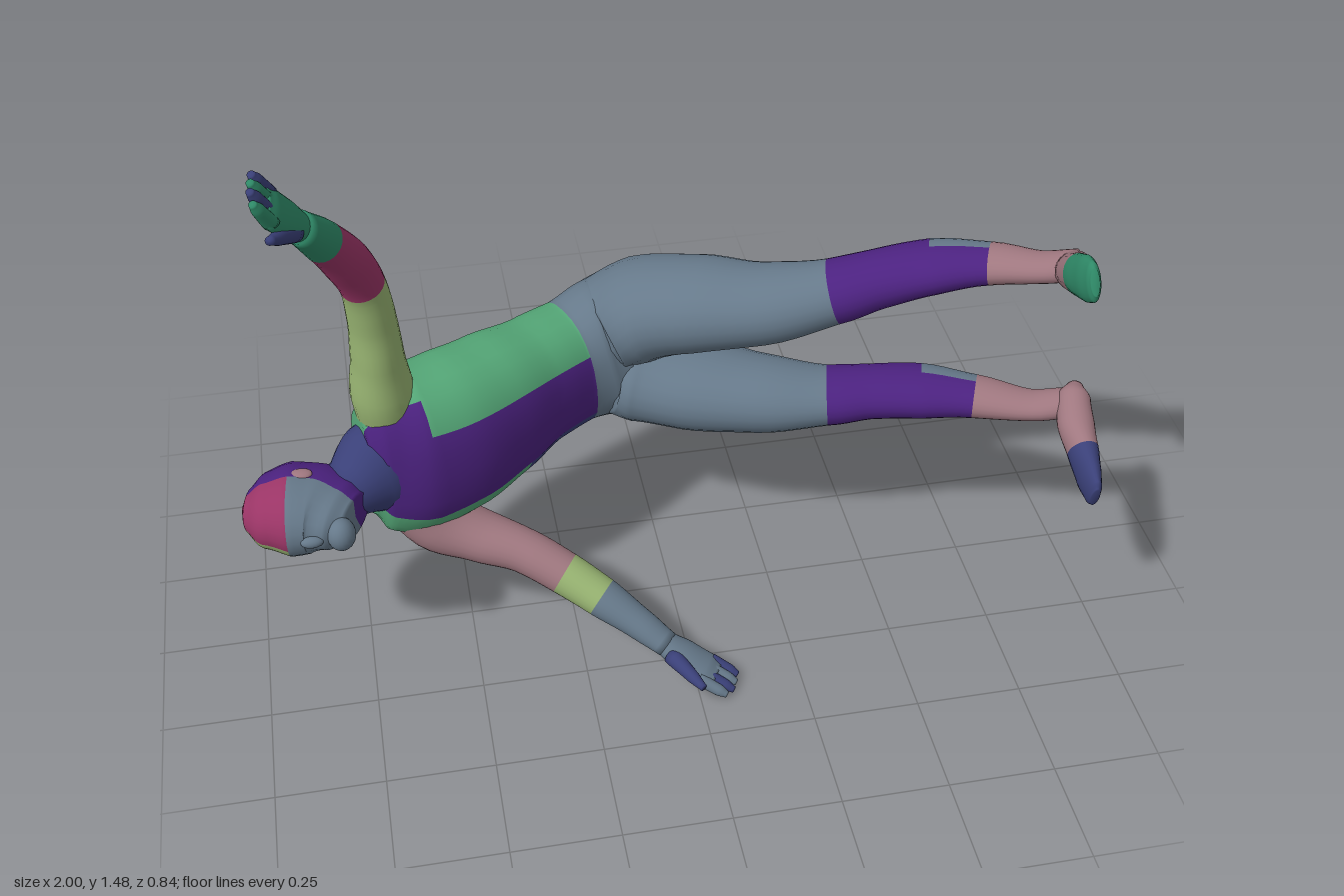
import * as THREE from 'three';

const V = (a) => new THREE.Vector3(...a);
const COLS = 24, STEPS = 5;
const SLATE = 0x66798a, GREEN = 0x55a878, PURPLE = 0x4c2280, MAROON = 0x9a3566, OLIVE = 0x98b472,
  PINK = 0xa07880, NAVY = 0x3a4078, TEAL = 0x2f8a68;

// Smooth body through stations [x, y, z, half width along side, half depth].
// bands: [name, colour, first station, last station, first column, last column]
// power below 1 makes the cross-section squarer than an ellipse.
function loft(group, stations, side, bands, power = 1) {
  const n = stations.length;
  const path = new THREE.CatmullRomCurve3(stations.map((s) => V(s)));
  const rings = (n - 1) * STEPS;
  const pos = [];
  const bulge = (v) => Math.sign(v) * Math.abs(v) ** power;
  for (let i = 0; i <= rings + 2; i++) {
    const ring = Math.min(Math.max(i - 1, 0), rings);
    const t = ring / rings, k = Math.min(Math.floor(ring / STEPS), n - 2);
    const f = ring / STEPS - k, e = f * f * (3 - 2 * f) * 0.5 + f * 0.5;
    const closed = i === 0 || i === rings + 2 ? 0 : 1;
    const r = [3, 4].map((q) => closed * THREE.MathUtils.lerp(stations[k][q], stations[k + 1][q], e));
    const c = path.getPoint(t), T = path.getTangent(t);
    const s = V(side).addScaledVector(T, -V(side).dot(T)).normalize();
    const b = new THREE.Vector3().crossVectors(T, s);
    for (let j = 0; j < COLS; j++) {
      const a = (j / COLS) * Math.PI * 2;
      pos.push(...c.clone().addScaledVector(s, r[0] * bulge(Math.cos(a)))
        .addScaledVector(b, r[1] * bulge(Math.sin(a))).toArray());
    }
  }
  const strip = (r0, r1, c0, c1) => {
    const index = [];
    for (let i = r0; i < r1; i++) for (let j = c0; j < c1; j++) {
      const a = i * COLS + (j % COLS), b = i * COLS + ((j + 1) % COLS);
      index.push(a, b, a + COLS, b, b + COLS, a + COLS);
    }
    return index;
  };
  // Normals come from the whole skin, so the colour bands join without a crease
  const whole = new THREE.BufferGeometry();
  whole.setAttribute('position', new THREE.Float32BufferAttribute(pos, 3));
  whole.setIndex(strip(0, rings + 2, 0, COLS));
  whole.computeVertexNormals();
  for (const [name, color, from, to, c0 = 0, c1 = COLS] of bands) {
    const g = new THREE.BufferGeometry();
    g.setAttribute('position', whole.attributes.position);
    g.setAttribute('normal', whole.attributes.normal);
    const r0 = from === 0 ? 0 : from * STEPS + 1, r1 = to === n - 1 ? rings + 2 : to * STEPS + 1;
    g.setIndex(strip(r0, r1, c0, c1));
    const mesh = new THREE.Mesh(g.toNonIndexed(), new THREE.MeshStandardMaterial({ color }));
    mesh.name = name;
    group.add(mesh);
  }
}

function ball(group, name, color, at, scale) {
  const mesh = new THREE.Mesh(new THREE.SphereGeometry(1, 20, 14), new THREE.MeshStandardMaterial({ color }));
  mesh.name = name;
  mesh.position.set(...at);
  mesh.scale.set(...scale);
  group.add(mesh);
}

// Palm, four fingers and a thumb; side points across the palm to the little finger
function hand(group, name, wrist, knuckle, tip, side, thumb, colors) {
  const w = V(wrist), k = V(knuckle), t = V(tip), s = V(side).normalize();
  const mid = w.clone().lerp(k, 0.5);
  loft(group, [[...w, 0.03, 0.028], [...mid, 0.044, 0.027], [...k, 0.05, 0.023],
    [...k.clone().lerp(t, 0.35), 0.042, 0.015]], side, [[name + 'Palm', colors[0], 0, 3]]);
  for (let i = 0; i < 4; i++) {
    const off = (i - 1.5) * 0.023, reach = 1 - Math.abs(i - 1.2) * 0.09;
    const a = k.clone().addScaledVector(s, off);
    const b = k.clone().lerp(t, reach).addScaledVector(s, off);
    loft(group, [[...a, 0.014, 0.018], [...a.clone().lerp(b, 0.7), 0.014, 0.014], [...b, 0.008, 0.008]],
      side, [[name + 'Finger', colors[i % 2], 0, 2]]);
  }
  const base = w.clone().lerp(mid, 0.6).addScaledVector(s, -0.02), end = V(thumb);
  loft(group, [[...base, 0.022, 0.022], [...base.clone().lerp(end, 0.6), 0.016, 0.016], [...end, 0.009, 0.009]],
    [1, 0.3, 0], [[name + 'Thumb', colors[1], 0, 2]]);
}

export function createModel() {
  const body = new THREE.Group();
  body.name = 'body';
  const Y = [0, 1, 0];

  // Head, running from crown to jaw, with face features
  loft(body, [[-0.998, 0.5, 0.085, 0.012, 0.012], [-0.985, 0.5, 0.088, 0.045, 0.054], [-0.95, 0.5, 0.094, 0.078, 0.095],
    [-0.89, 0.5, 0.1, 0.097, 0.12], [-0.83, 0.5, 0.11, 0.088, 0.118], [-0.78, 0.5, 0.137, 0.07, 0.1],
    [-0.75, 0.5, 0.155, 0.048, 0.066]], Y,
  [['cranium', PURPLE, 0, 6, 13, 24], ['browLeft', MAROON, 0, 3, 0, 7], ['browRight', OLIVE, 0, 3, 7, 13],
    ['face', SLATE, 3, 6, 0, 13]]);
  ball(body, 'chin', SLATE, [-0.785, 0.5, 0.205], [0.033, 0.04, 0.036]);
  ball(body, 'nose', SLATE, [-0.85, 0.5, 0.22], [0.026, 0.014, 0.014]);
  for (const s of [1, -1]) ball(body, 'ear', PINK, [-0.86, 0.5 + s * 0.089, 0.09], [0.026, 0.009, 0.018]);

  // Neck
  loft(body, [[-0.82, 0.5, 0.08, 0.065, 0.065], [-0.765, 0.505, 0.062, 0.07, 0.07], [-0.7, 0.515, 0.015, 0.12, 0.095],
    [-0.64, 0.52, -0.02, 0.13, 0.1]], Y, [['neck', NAVY, 0, 3]]);

  // Trunk, bent forward from the hips
  loft(body, [[-0.72, 0.525, 0.0, 0.14, 0.07], [-0.685, 0.525, -0.01, 0.198, 0.105], [-0.6, 0.52, -0.037, 0.222, 0.142],
    [-0.5, 0.53, -0.078, 0.21, 0.151], [-0.4, 0.54, -0.137, 0.19, 0.144], [-0.3, 0.545, -0.203, 0.164, 0.131],
    [-0.2, 0.545, -0.263, 0.16, 0.127], [-0.11, 0.56, -0.287, 0.182, 0.132], [-0.03, 0.58, -0.28, 0.16, 0.11],
    [0.015, 0.59, -0.26, 0.1, 0.07]], Y,
  [['leftShoulder', PURPLE, 0, 2, 2, 4], ['leftShoulderTop', GREEN, 0, 2, 0, 2], ['leftFlank', GREEN, 2, 6, 0, 4],
    ['chest', PURPLE, 0, 5, 4, 8], ['rightChest', GREEN, 0, 4, 8, 11], ['rightBelly', NAVY, 4, 6, 8, 11],
    ['abdomen', PURPLE, 5, 6, 4, 8], ['rightFlank', SLATE, 0, 6, 11, 15], ['rightBack', NAVY, 0, 6, 15, 19],
    ['leftBack', GREEN, 0, 6, 19, 24], ['pelvis', SLATE, 6, 9]], 0.86);

  // Legs share their depth profile; each has its own height and width
  const legX = [-0.2, -0.11, -0.02, 0.1, 0.25, 0.4, 0.5, 0.62, 0.74, 0.845, 0.925];
  const legZ = [-0.25, -0.285, -0.27, -0.195, -0.115, -0.065, -0.047, -0.02, 0.028, 0.085, 0.1];
  const legDepth = [0.09, 0.135, 0.152, 0.138, 0.112, 0.088, 0.08, 0.083, 0.064, 0.048, 0.043];
  const legs = {
    left: [[0.6, 0.63, 0.675, 0.728, 0.765, 0.815, 0.85, 0.887, 0.913, 0.928, 0.935],
      [0.07, 0.11, 0.122, 0.11, 0.092, 0.073, 0.065, 0.056, 0.043, 0.032, 0.033]],
    right: [[0.53, 0.505, 0.492, 0.488, 0.495, 0.506, 0.516, 0.521, 0.524, 0.523, 0.53],
      [0.08, 0.11, 0.117, 0.104, 0.087, 0.064, 0.058, 0.056, 0.045, 0.031, 0.033]],
  };
  for (const [name, [ys, widths]] of Object.entries(legs)) {
    loft(body, legX.map((x, i) => [x + (name === 'right' && i > 8 ? 0.02 : 0), ys[i], legZ[i], widths[i], legDepth[i]]), Y,
      [[name + 'Thigh', SLATE, 0, 5], [name + 'Knee', PURPLE, 5, 8, 0, 11], [name + 'Calf', TEAL, 5, 7, 11, 15],
        [name + 'CalfBack', PURPLE, 5, 7, 15, 24], [name + 'LowerCalf', SLATE, 7, 8, 11, 24], [name + 'Ankle', PINK, 8, 10]]);
  }

  // Feet, heel to toe
  loft(body, [[0.928, 0.908, 0.055, 0.02, 0.019], [0.917, 0.925, 0.09, 0.037, 0.04], [0.894, 0.955, 0.15, 0.043, 0.046],
    [0.877, 0.99, 0.21, 0.048, 0.037], [0.868, 1.022, 0.27, 0.053, 0.027], [0.864, 1.042, 0.31, 0.046, 0.017],
    [0.862, 1.05, 0.325, 0.03, 0.01]], [0, 0.83, -0.55], [['leftHeel', PINK, 0, 3], ['leftToes', TEAL, 3, 6]]);
  loft(body, [[0.975, 0.553, 0.07, 0.02, 0.019], [0.96, 0.545, 0.105, 0.037, 0.04], [0.945, 0.52, 0.17, 0.042, 0.044],
    [0.94, 0.495, 0.24, 0.048, 0.036], [0.935, 0.473, 0.3, 0.053, 0.027], [0.932, 0.46, 0.345, 0.045, 0.017],
    [0.931, 0.456, 0.36, 0.03, 0.01]], [0, 0.9, 0.4], [['rightHeel', PINK, 0, 3], ['rightToes', NAVY, 3, 6]]);

  // Left arm, raised
  loft(body, [[-0.645, 0.6, -0.035, 0.07, 0.08], [-0.659, 0.72, -0.02, 0.073, 0.088], [-0.661, 0.83, -0.008, 0.06, 0.076],
    [-0.664, 0.94, 0.008, 0.054, 0.06], [-0.676, 1.05, 0.033, 0.05, 0.051], [-0.704, 1.14, 0.073, 0.052, 0.051],
    [-0.745, 1.23, 0.127, 0.045, 0.046], [-0.787, 1.315, 0.195, 0.032, 0.037]], [1, 0, 0],
  [['leftUpperArm', OLIVE, 0, 4], ['leftForearm', MAROON, 4, 6], ['leftWrist', TEAL, 6, 7]]);
  hand(body, 'left', [-0.78, 1.3, 0.183], [-0.833, 1.4, 0.25], [-0.865, 1.475, 0.282], [0, 0.45, -0.88],
    [-0.84, 1.37, 0.318], [TEAL, NAVY]);

  // Right arm, reaching down and forward
  loft(body, [[-0.62, 0.41, -0.025, 0.09, 0.085], [-0.565, 0.325, -0.005, 0.075, 0.085], [-0.47, 0.283, 0.03, 0.059, 0.07],
    [-0.37, 0.256, 0.074, 0.052, 0.056], [-0.28, 0.213, 0.125, 0.052, 0.052], [-0.2, 0.17, 0.178, 0.047, 0.05],
    [-0.12, 0.125, 0.237, 0.036, 0.04], [-0.06, 0.088, 0.283, 0.027, 0.034]], Y,
  [['rightUpperArm', PINK, 0, 4], ['rightForearm', OLIVE, 4, 5], ['rightWrist', SLATE, 5, 7]]);
  hand(body, 'right', [-0.07, 0.093, 0.276], [0.02, 0.042, 0.335], [0.09, 0.008, 0.374], [0.6, 0, -0.8],
    [0.002, 0.062, 0.412], [SLATE, NAVY]);

  const group = new THREE.Group();
  group.name = 'figure';
  group.add(body);
  return group;
}
